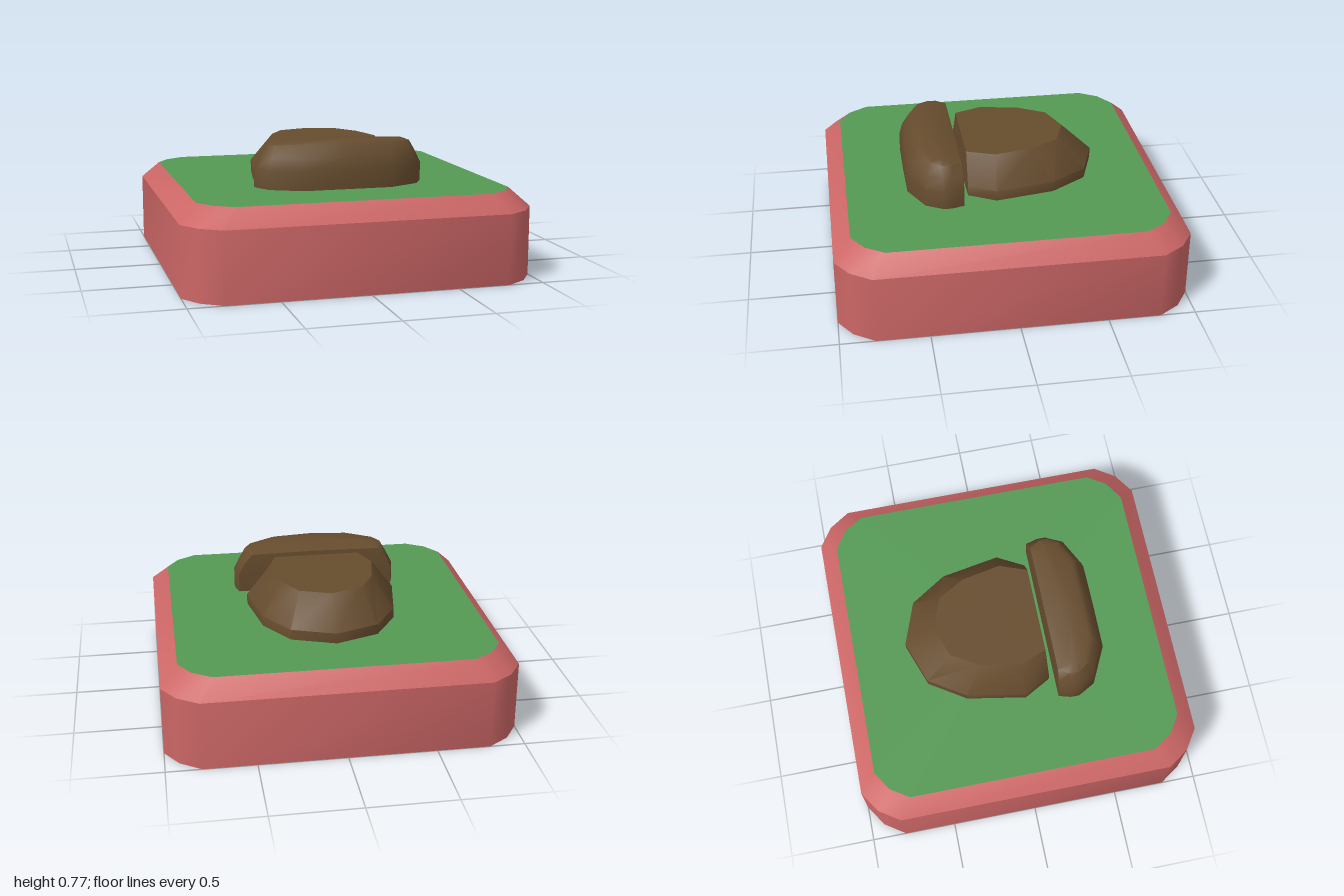
import * as THREE from 'three';
import { toCreasedNormals } from 'three/addons/utils/BufferGeometryUtils.js';

// Mirror half an outline (back to front, x >= 0) into a closed ring
function ring(half, y) {
  const pts = half.map(([x, z, py]) => new THREE.Vector3(x, py ?? y, z));
  const other = pts.filter((p) => p.x > 0).reverse().map((p) => new THREE.Vector3(-p.x, p.y, p.z));
  return [...pts, ...other];
}

// Skin stacked rings from bottom to top and close the chosen ends
function loft(rings, { top = true, bottom = true, crease = 0.7 } = {}) {
  const pos = [];
  const tri = (...v) => v.forEach((p) => pos.push(p.x, p.y, p.z));
  const n = rings[0].length;
  for (let r = 0; r + 1 < rings.length; r++) {
    for (let i = 0; i < n; i++) {
      const j = (i + 1) % n;
      const [a0, b0, a1, b1] = [rings[r][i], rings[r][j], rings[r + 1][i], rings[r + 1][j]];
      tri(b0, a0, a1);
      tri(b0, a1, b1);
    }
  }
  const cap = (pts, up) => {
    const c = new THREE.Box3().setFromPoints(pts).getCenter(new THREE.Vector3());
    c.y = Math.max(...pts.map((p) => p.y));
    pts.forEach((a, i) => {
      const b = pts[(i + 1) % n];
      if (up) tri(c, b, a);
      else tri(c, a, b);
    });
  };
  if (top) cap(rings[rings.length - 1], true);
  if (bottom) cap(rings[0], false);
  const geo = new THREE.BufferGeometry();
  geo.setAttribute('position', new THREE.Float32BufferAttribute(pos, 3));
  return toCreasedNormals(geo, crease);
}

export function createModel() {
  const model = new THREE.Group();
  const rose = new THREE.MeshStandardMaterial({ color: 0xcc6666 });
  const green = new THREE.MeshStandardMaterial({ color: 0x549954 });
  const brown = new THREE.MeshStandardMaterial({ color: 0x664c2e });
  const add = (name, geo, mat) => {
    const mesh = new THREE.Mesh(geo, mat);
    mesh.name = name;
    model.add(mesh);
  };

  // Square slab with cut corners and a bevelled rim
  const outer = [[0.8, -1], [0.92, -0.92], [1, -0.8], [1, 0.8], [0.92, 0.92], [0.8, 1]];
  const inner = [[0.72, -0.9], [0.83, -0.83], [0.9, -0.72], [0.9, 0.72], [0.83, 0.83], [0.72, 0.9]];
  add('base', loft([ring(outer, 0), ring(outer, 0.4), ring(inner, 0.5)], { top: false }), rose);
  add('topSurface', loft([ring(inner, 0.5)], { bottom: false }), green);

  // Large rounded mound with sloping sides and a flat top
  const moundFoot = [[0, -0.59], [0.25, -0.5], [0.385, -0.29], [0.445, 0.05], [0.36, 0.205], [0, 0.21]];
  const moundTop = [[0, -0.41], [0.18, -0.345], [0.27, -0.19], [0.315, 0.04], [0.255, 0.2], [0, 0.2]];
  add('mound', loft([ring(moundFoot, 0.5), ring(moundFoot, 0.56), ring(moundTop, 0.73)]), brown);

  // Rounded bar in front, with a softly crowned top
  const barFoot = [[0, 0.24], [0.475, 0.24], [0.495, 0.31], [0.495, 0.36], [0.44, 0.46], [0.26, 0.548], [0, 0.55]];
  const barMid = [[0, 0.24], [0.44, 0.24], [0.46, 0.31], [0.46, 0.36], [0.415, 0.45], [0.255, 0.53], [0, 0.535]];
  const barEdge = [[0, 0.245, 0.74], [0.39, 0.245, 0.735], [0.425, 0.305, 0.74], [0.425, 0.36, 0.74],
    [0.385, 0.42, 0.745], [0.24, 0.485, 0.755], [0, 0.49, 0.76]];
  const barCrown = [[0, 0.33, 0.775], [0.33, 0.32, 0.758], [0.38, 0.33, 0.757], [0.38, 0.36, 0.757],
    [0.34, 0.40, 0.76], [0.22, 0.46, 0.767], [0, 0.465, 0.775]];
  add('frontBar', loft([ring(barFoot, 0.5), ring(barFoot, 0.61), ring(barMid, 0.68), ring(barEdge), ring(barCrown)]), brown);

  return model;
}
